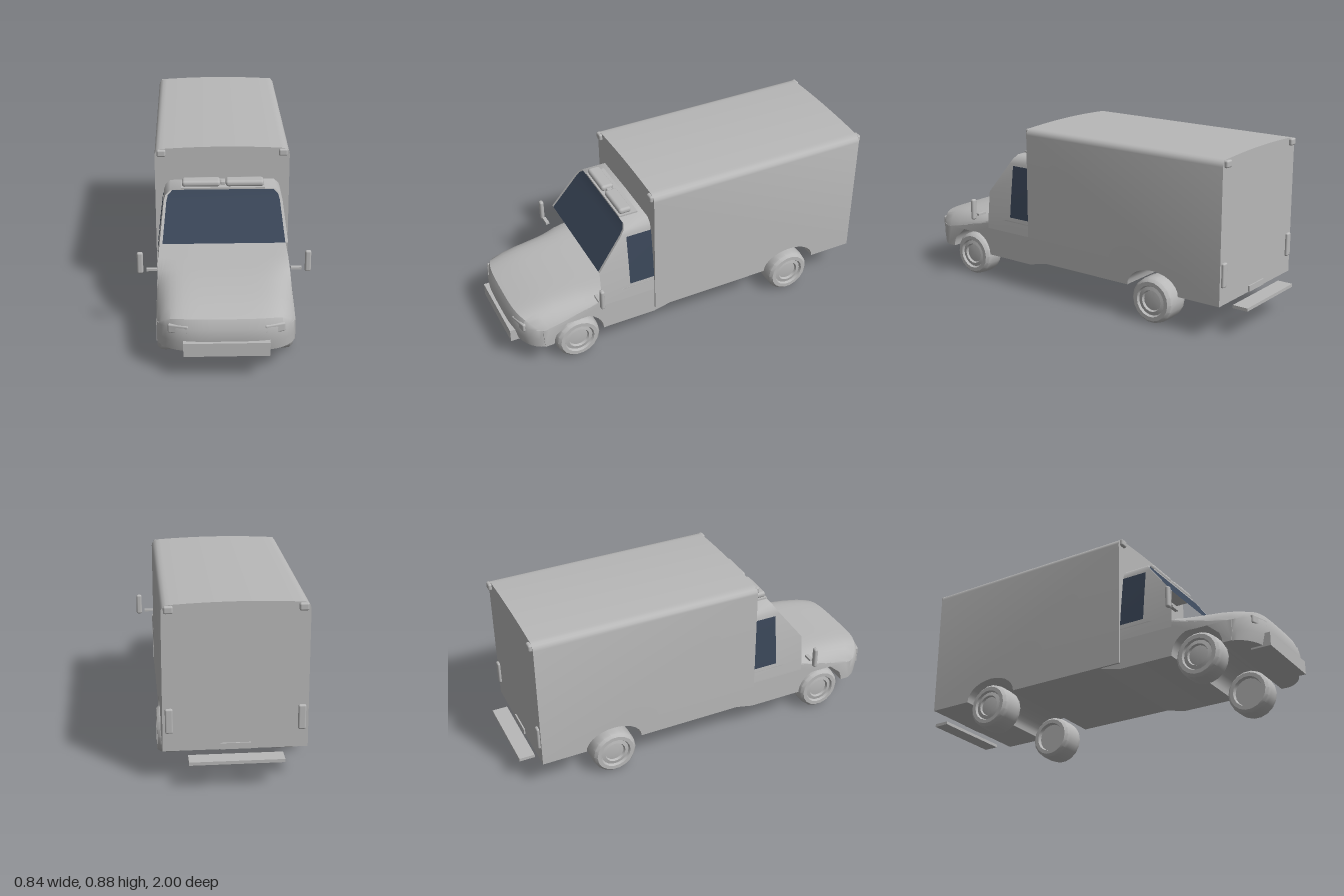
import * as THREE from 'three';
import { toCreasedNormals } from 'three/addons/utils/BufferGeometryUtils.js';
import { RoundedBoxGeometry } from 'three/addons/geometries/RoundedBoxGeometry.js';

const paint = new THREE.MeshStandardMaterial({ color: 0xb8b8b8 });
paint.name = 'grey paint';
const glass = new THREE.MeshStandardMaterial({ color: 0x3a4658 });
glass.name = 'dark glass';

const clamp = THREE.MathUtils.clamp;

// Side profile [z, y] swept across x, with samples gathered near the edges, then bent by a rule
function sweep(outline, halfWidth, bend) {
  const shape = new THREE.Shape(outline.map(([z, y]) => new THREE.Vector2(z, y)));
  const geo = new THREE.ExtrudeGeometry(shape, { depth: 2, steps: 24, bevelEnabled: false });
  const p = geo.attributes.position;
  for (let i = 0; i < p.count; i++) {
    const u = -Math.sin((p.getZ(i) - 1) * Math.PI / 2);
    const [z, y] = bend(p.getX(i), p.getY(i), Math.abs(u));
    p.setXYZ(i, u * halfWidth, y, z);
  }
  return toCreasedNormals(geo, 0.7);
}

// Wheel arch points, from the rear foot to the front foot
function arch(z, y, rx, ry) {
  return Array.from({ length: 15 }, (_, i) => {
    const a = Math.PI * (1 - i / 14);
    return [z + rx * Math.cos(a), y + ry * Math.sin(a)];
  });
}

// Surface through rows of [x, y, z] points
function grid(rows, crease = 0.5) {
  const n = rows[0].length, index = [];
  for (let i = 0; i < rows.length - 1; i++) {
    for (let j = 0; j < n - 1; j++) {
      const a = i * n + j, d = a + n;
      index.push(a, a + 1, d + 1, a, d + 1, d);
    }
  }
  const geo = new THREE.BufferGeometry();
  geo.setAttribute('position', new THREE.Float32BufferAttribute(rows.flat(2), 3));
  geo.setIndex(index);
  geo.computeVertexNormals();
  return toCreasedNormals(geo, crease);
}

export function createModel() {
  const model = new THREE.Group();
  model.name = 'box van';
  const add = (name, geo, x = 0, y = 0, z = 0, mat = paint) => {
    const m = new THREE.Mesh(geo, mat);
    m.name = name;
    m.position.set(x, y, z);
    model.add(m);
    return m;
  };
  const box = (w, h, d) => new THREE.BoxGeometry(w, h, d);
  const round = (w, h, d, r) => new RoundedBoxGeometry(w, h, d, 2, r);

  // Cargo box with crowned roof and rounded roof edges
  const boxW = 0.335, r = 0.03;
  add('cargoBox', sweep(
    [[0.26, 0.88], [-0.915, 0.88], [-0.915, 0.17], ...arch(-0.535, 0.17, 0.15, 0.1), [0.26, 0.17]],
    boxW,
    (z, y, u) => {
      if (y < 0.8) return [z, y];
      const e = Math.max(0, u * boxW - boxW + r);
      return [z, y - 0.012 * u * u - r + Math.sqrt(Math.max(0, r * r - e * e))];
    }));

  // Lower cab and bonnet, rounded in plan at the nose and along the bonnet edges
  add('lowerCab', sweep(
    [[0.97, 0.14], [0.983, 0.19], [0.985, 0.26], [0.965, 0.305], [0.88, 0.328], [0.78, 0.344],
      [0.65, 0.355], [0.55, 0.358], [0.42, 0.356], [0.2, 0.352], [0.15, 0.165], [0.26, 0.14],
      ...arch(0.68, 0.14, 0.135, 0.12)],
    0.325,
    (z, y, u) => {
      const fade = THREE.MathUtils.smoothstep(z, 0.42, 0.75);
      const drop = 0.08 * u ** 8 * fade * clamp((y - 0.25) / 0.06, 0, 1);
      const nose = Math.sqrt(Math.max(0.08, 1 - 0.95 * u ** 4));
      return [z > 0.82 ? 0.82 + (z - 0.82) * nose : z, y - drop];
    }));

  // Upper cab shell: half section as [x, y, front z], mirrored over the roof
  const half = [[0.328, 0.29, 0.55], [0.324, 0.37, 0.55], [0.311, 0.49, 0.55], [0.29, 0.66, 0.42],
    [0.282, 0.685, 0.402], [0.258, 0.706, 0.39]];
  const section = [...half, [0, 0.711, 0.39], ...half.map(([x, y, z]) => [-x, y, z]).reverse()];
  add('upperCab', grid(section.map(([x, y, z]) => [[x, y, z], [x, y, 0.255]]), 0.9));

  // Windscreen and its pillars
  const screen = half.slice(2);
  const strip = (a, b) => grid(screen.map(([x, y, z]) => [[x * a, y, z], [x * b, y, z]]));
  add('windscreen', strip(-0.955, 0.955), 0, 0, 0, glass);
  add('rightPillar', strip(-1, -0.955));
  add('leftPillar', strip(0.955, 1));
  add('roofFrontTrim', box(0.41, 0.012, 0.1), 0, 0.709, 0.34);

  // Bumper and rear step
  add('frontBumper', box(0.4, 0.068, 0.1), 0, 0.165, 0.95);
  add('rearStep', box(0.44, 0.016, 0.08), 0, 0.141, -0.96);
  add('rearPlate', box(0.14, 0.03, 0.008), 0, 0.187, -0.918);

  // Roof light bar
  add('lightBarCentre', round(0.024, 0.02, 0.03, 0.006), 0, 0.728, 0.35);

  // Tyre and recessed rim, turned around the axle
  const wheel = (s, width) => {
    const w = width / 2;
    const profile = [[0, -w + 0.02], [0.075, -w + 0.02], [0.08, -w], [0.1, -w], [0.113, -w + 0.014],
      [0.1165, -w + 0.035], [0.1165, w - 0.035], [0.113, w - 0.014], [0.1, w], [0.08, w],
      [0.074, w - 0.012], [0.055, w - 0.008], [0.05, w - 0.02], [0, w - 0.014]];
    const geo = new THREE.LatheGeometry(profile.map(([a, b]) => new THREE.Vector2(a, b)), 18);
    return toCreasedNormals(geo.rotateZ(-s * Math.PI / 2), 0.6);
  };

  for (const s of [1, -1]) {
    const side = s > 0 ? 'left' : 'right';

    add(side + 'FrontWheel', wheel(s, 0.12), s * 0.265, 0.1175, 0.68);
    add(side + 'RearWheel', wheel(s, 0.145), s * 0.2775, 0.1175, -0.535);

    // Door window follows the slope of the cab side
    const rows = [[0.326, 0.375], [0.314, 0.49], [0.294, 0.65]].map(([x, y]) => {
      const row = [[s * x, y, 0.393], [s * x, y, 0.26]];
      return s > 0 ? row : row.reverse();
    });
    add(side + 'DoorWindow', grid(rows), 0, 0, 0, glass);

    // Mirrors on short arms
    add(side + 'Mirror', round(0.03, 0.112, 0.022, 0.01), s * 0.406, 0.407, 0.58);
    add(side + 'MirrorArm', box(0.052, 0.011, 0.018), s * 0.35, 0.37, 0.58);

    // Lamps
    add(side + 'LightBar', round(0.188, 0.032, 0.066, 0.014), s * 0.107, 0.731, 0.352);
    add(side + 'Headlight', round(0.1, 0.045, 0.03, 0.008), s * 0.22, 0.253, 0.95).rotation.y = s * 0.28;
    for (const z of [0.264, -0.92]) {
      add(side + (z > 0 ? 'Front' : 'Rear') + 'MarkerLamp', round(0.044, 0.036, 0.024, 0.009), s * 0.302, 0.85, z);
    }
    add(side + 'TailLamp', round(0.036, 0.12, 0.022, 0.008), s * 0.305, 0.32, -0.917);
  }
  return model;
}
